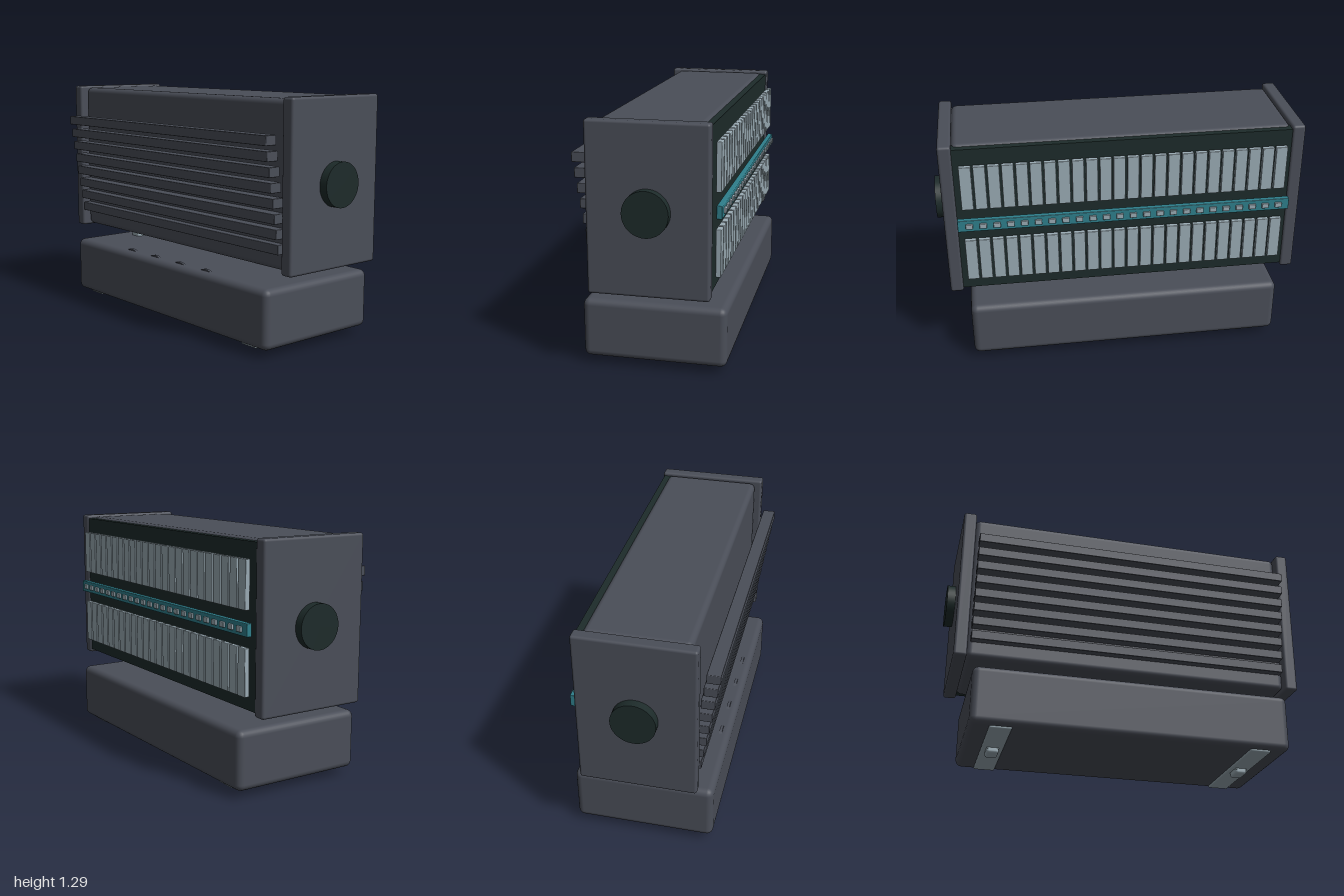
import * as THREE from 'three';
import { RoundedBoxGeometry } from 'three/addons/geometries/RoundedBoxGeometry.js';

const mat = (name, color) => {
  const m = new THREE.MeshStandardMaterial({ color });
  m.name = name;
  return m;
};

export function createModel() {
  const group = new THREE.Group();
  const casing = mat('slate casing', 0x4a4e58);
  const dark = mat('dark green black', 0x1d2b2a);
  const metal = mat('pale steel', 0x9aabb4);
  const teal = mat('teal', 0x2f7f8c);

  const add = (name, geometry, material, x, y, z) => {
    const mesh = new THREE.Mesh(geometry, material);
    mesh.name = name;
    mesh.position.set(x, y, z);
    group.add(mesh);
    return mesh;
  };
  // Box given by its limits on each axis; r rounds the edges
  const box = (name, material, [x0, x1], [y0, y1], [z0, z1], r = 0) => {
    const size = [x1 - x0, y1 - y0, z1 - z0];
    const geometry = r ? new RoundedBoxGeometry(...size, 3, r) : new THREE.BoxGeometry(...size);
    return add(name, geometry, material, (x0 + x1) / 2, (y0 + y1) / 2, (z0 + z1) / 2);
  };

  // Base and upper housing
  box('base', casing, [-0.855, 0.855], [0.04, 0.352], [-0.382, 0.358], 0.035);
  box('housing', casing, [-0.887, 0.887], [0.435, 1.28], [-0.28, 0.255], 0.03);
  box('backPanel', dark, [-0.886, 0.886], [0.445, 1.27], [-0.308, -0.25]);

  // Mirrored end plates, side knobs, posts and foot rails
  for (const s of [-1, 1]) {
    const span = (a, b) => (s > 0 ? [a, b] : [-b, -a]);
    box('endPlate', casing, span(0.885, 0.955), [0.425, 1.29], [-0.316, 0.294], 0.014);
    const knob = add('sideKnob', new THREE.CylinderGeometry(0.115, 0.115, 0.06, 48), dark, s * 0.97, 0.855, -0.012);
    knob.rotation.z = Math.PI / 2;
    box('post', metal, span(0.662, 0.727), [0.02, 0.46], [-0.06, 0.038], 0.008);
    box('footNub', metal, span(0.662, 0.727), [0, 0.04], [-0.06, 0.038], 0.014);
    box('footRail', metal, span(0.637, 0.752), [0.029, 0.05], [-0.352, 0.328], 0.008);
  }

  // Front slats, each stepping back towards the housing
  for (let i = 0; i < 8; i++) {
    const y = 1.086 - i * 0.0768;
    const z = 0.351 - i * 0.0125;
    box('slat', casing, [-0.87, 0.87], [y - 0.025, y + 0.025], [z - 0.035, z + 0.035], 0.004);
  }

  // Discs just breaking the top of the base
  for (let i = 0; i < 4; i++) {
    const disc = add('baseDisc', new THREE.CylinderGeometry(0.085, 0.085, 0.016, 48), casing, -0.34 + i * 0.225, 0.276, 0.305);
    disc.rotation.x = Math.PI / 2;
  }

  // Rear bar with small studs, between two rows of keys
  box('rearBar', teal, [-0.885, 0.885], [0.822, 0.888], [-0.361, -0.332], 0.004);
  for (let i = 0; i < 24; i++) {
    const x = (i - 11.5) * 0.0717;
    const span = (w) => [x - w / 2, x + w / 2];
    box('upperKey', metal, span(0.062), [0.945, 1.19], [-0.351, -0.324], 0.004);
    box('lowerKey', metal, span(0.062), [0.52, 0.762], [-0.351, -0.324], 0.004);
    box('barStud', metal, span(0.038), [0.841, 0.869], [-0.372, -0.35], 0.004);
  }
  return group;
}
